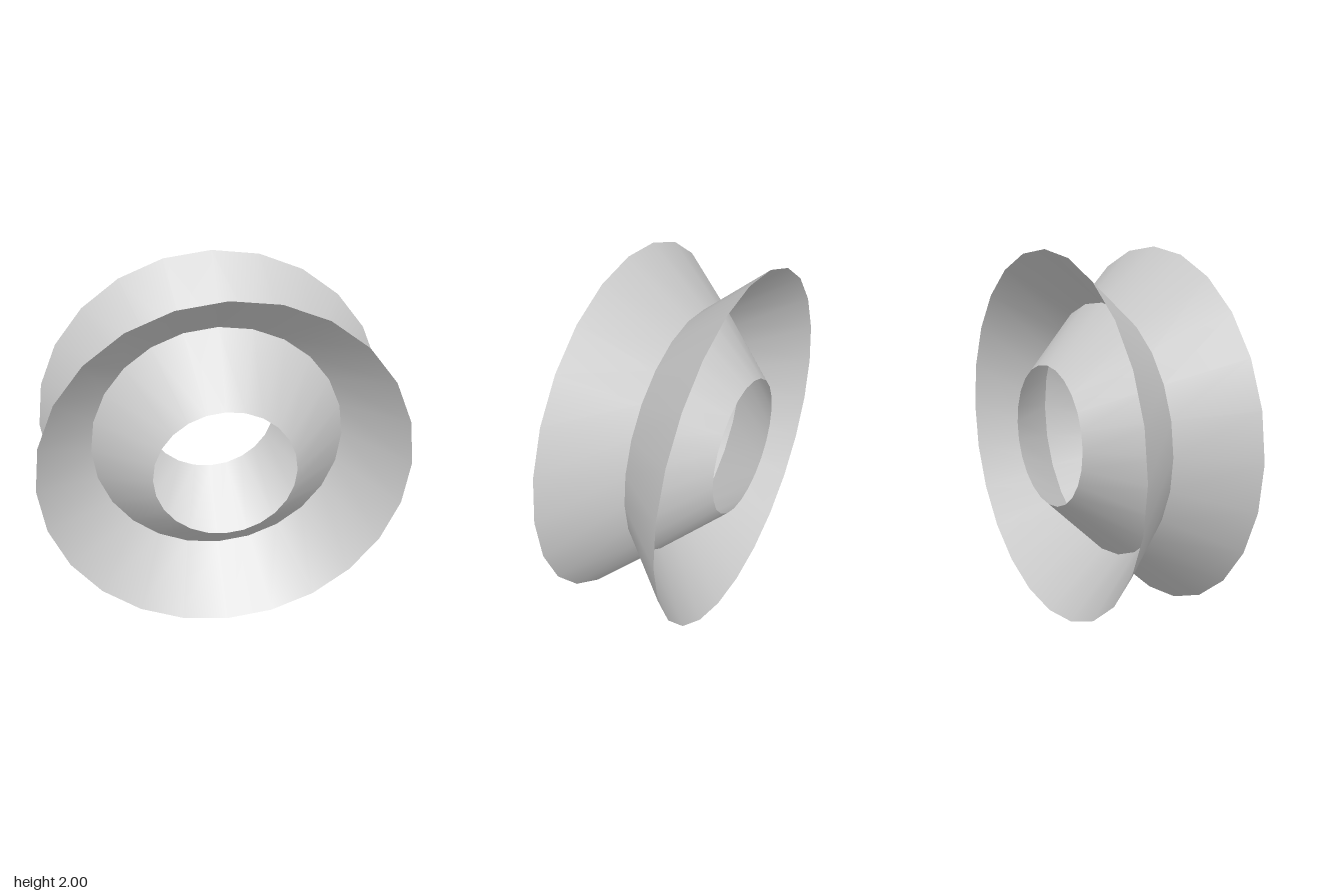
import * as THREE from 'three';

const SIDES = 24;
// Profile of one open cone: radius, depth along the axis, sideways drift of the ring centre
const RINGS = [
  { r: 0.383, z: -0.336, drift: 0.014 },
  { r: 0.70, z: 0, drift: 0.01 },
  { r: 0.998, z: 0.335, drift: 0.001 },
];

// Open cone flaring towards +z (dir = 1) or -z (dir = -1), its axis leaning slightly
function flaredCone(name, dir, material) {
  const profile = RINGS.map((ring) => new THREE.Vector2(ring.r, ring.z * dir));
  if (dir < 0) profile.reverse();
  const rings = dir < 0 ? [...RINGS].reverse() : RINGS;
  const geometry = new THREE.LatheGeometry(profile, SIDES);
  geometry.rotateX(Math.PI / 2);

  // Lathe vertices run ring by ring within each segment
  const pos = geometry.attributes.position;
  for (let i = 0; i < pos.count; i++) {
    const { drift } = rings[i % rings.length];
    pos.setX(i, pos.getX(i) - drift);
    pos.setY(i, pos.getY(i) + drift);
  }
  const mesh = new THREE.Mesh(geometry, material);
  mesh.name = name;
  mesh.position.y = 1.001;
  return mesh;
}

export function createModel() {
  const group = new THREE.Group();
  group.name = 'crossedConeRing';
  const material = new THREE.MeshStandardMaterial({ color: 0xcccccc, side: THREE.DoubleSide });

  // Two thin cones crossing at the middle ring
  group.add(flaredCone('frontFlaredCone', 1, material));
  group.add(flaredCone('backFlaredCone', -1, material));
  return group;
}
